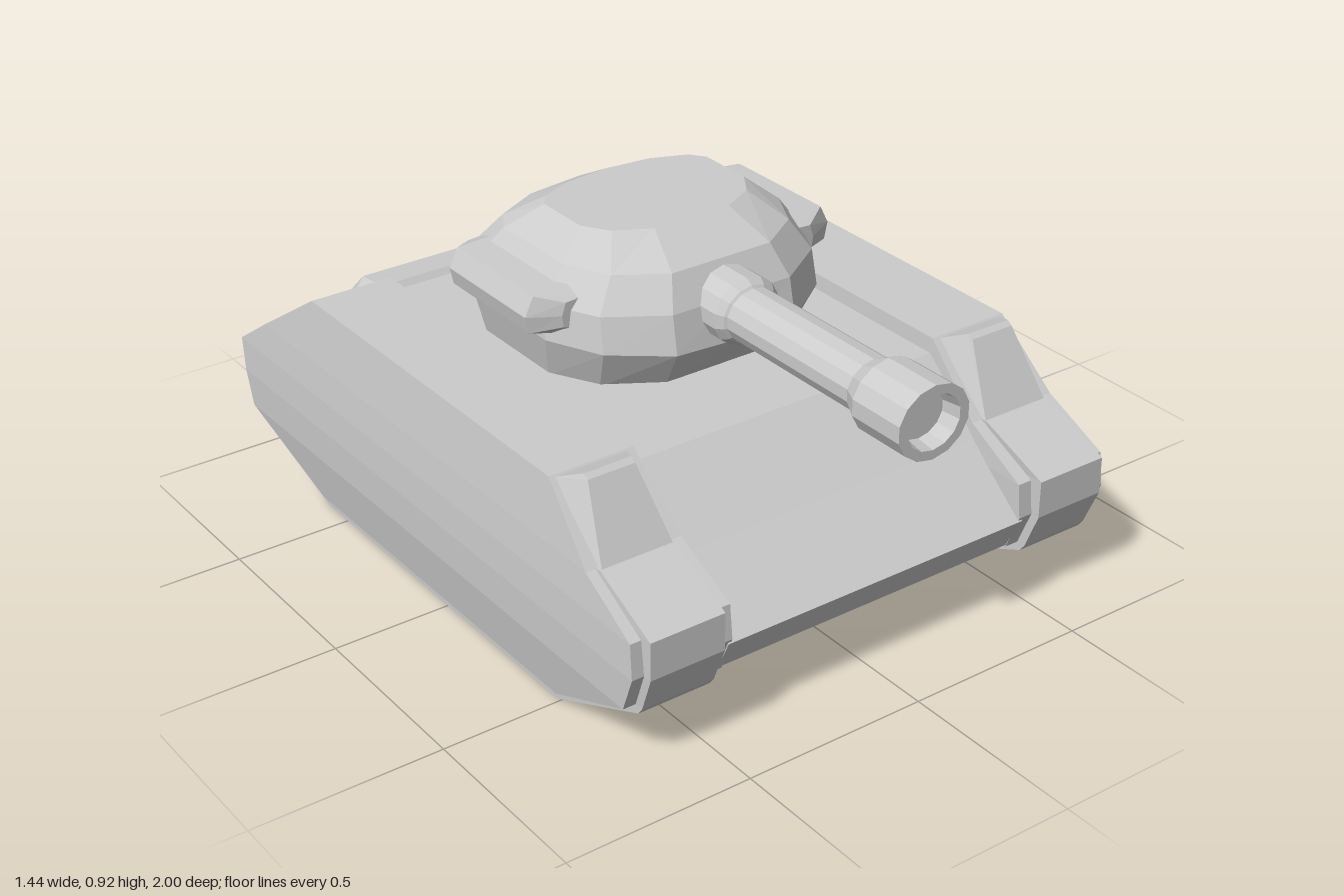
import * as THREE from 'three';

const material = new THREE.MeshStandardMaterial({ color: 0xcccccc, flatShading: true });

function mesh(name, geometry) {
  const m = new THREE.Mesh(geometry, material);
  m.name = name;
  return m;
}

// Skin a list of equal-length closed rings of [x, y, z] and cap both ends
function loft(rings) {
  const tris = [];
  const n = rings[0].length;
  for (let r = 0; r + 1 < rings.length; r++) {
    for (let i = 0; i < n; i++) {
      const j = (i + 1) % n;
      const a = rings[r][i], b = rings[r][j], c = rings[r + 1][j], d = rings[r + 1][i];
      tris.push([a, b, c], [a, c, d]);
    }
  }
  const cap = (ring, flip) => {
    const mid = [0, 1, 2].map(k => ring.reduce((s, p) => s + p[k], 0) / n);
    ring.forEach((p, i) => {
      const q = ring[(i + 1) % n];
      tris.push(flip ? [mid, q, p] : [mid, p, q]);
    });
  };
  cap(rings[0], true);
  cap(rings[rings.length - 1], false);
  // Turn the faces outward when the enclosed volume is negative
  let volume = 0;
  for (const [a, b, c] of tris) {
    volume += a[0] * (b[1] * c[2] - b[2] * c[1])
      + a[1] * (b[2] * c[0] - b[0] * c[2])
      + a[2] * (b[0] * c[1] - b[1] * c[0]);
  }
  if (volume < 0) tris.forEach(t => t.reverse());
  const g = new THREE.BufferGeometry();
  g.setAttribute('position', new THREE.Float32BufferAttribute(tris.flat(2), 3));
  g.computeVertexNormals();
  return g;
}

// Stacked rectangles: each level is [y, inner x, outer x, front z, rear z]
const stack = (levels, side) => loft(levels.map(([y, a, b, f, r]) =>
  [[side * a, y, f], [side * b, y, f], [side * b, y, r], [side * a, y, r]]));

export function createModel() {
  const model = new THREE.Group();
  model.name = 'tank';

  // Hull: side profiles across x, with two raised panels at the rear
  const hullRings = [-0.45, -0.40, -0.05, 0, 0.05, 0.40, 0.45].map(x => {
    const ax = Math.abs(x);
    const bulge = ax > 0.02 && ax < 0.42 ? 1 : 0;
    const profile = [
      [0.49, 0.57], [0.67, 0.41], [0.85, 0.26], [0.81, 0.175],
      [-0.93 - 0.02 * bulge, 0.125 + 0.1 * ax],
      [-0.97 - 0.03 * bulge, 0.35],
      [-0.81 - 0.04 * bulge, 0.48 + 0.02 * bulge],
      [-0.75, 0.51], [-0.60, 0.57],
    ];
    return profile.map(([z, y]) => [x, y, z]);
  });
  model.add(mesh('hull', loft(hullRings)));

  for (const side of [1, -1]) {
    const label = side > 0 ? 'left' : 'right';

    // Side skirt, widest at mid height
    model.add(mesh(label + 'Skirt', stack([
      [0.025, 0.445, 0.69, 0.50, -0.61],
      [0.17, 0.44, 0.715, 0.81, -0.93],
      [0.27, 0.44, 0.718, 0.85, -0.955],
      [0.36, 0.44, 0.715, 0.84, -0.97],
      [0.45, 0.445, 0.707, 0.66, -0.84],
      [0.61, 0.455, 0.688, 0.49, -0.60],
    ], side)));

    // Track unit, showing under the skirt and at the nose
    model.add(mesh(label + 'Track', stack([
      [0, 0.48, 0.68, 0.49, -0.60],
      [0.15, 0.48, 0.68, 0.82, -0.93],
      [0.17, 0.48, 0.68, 0.835, -0.93],
      [0.27, 0.48, 0.685, 0.875, -0.94],
      [0.37, 0.48, 0.685, 0.875, -0.93],
      [0.452, 0.475, 0.68, 0.68, -0.80],
    ], side)));

    // Wedge on the front slope of the skirt
    model.add(mesh(label + 'Wedge', loft([
      [[0.475, 0.605, 0.49], [0.675, 0.605, 0.49], [0.675, 0.44, 0.68], [0.475, 0.44, 0.68]],
      [[0.51, 0.635, 0.56], [0.64, 0.635, 0.56], [0.64, 0.625, 0.575], [0.51, 0.625, 0.575]],
    ].map(ring => ring.map(([x, y, z]) => [side * x, y, z])))));

    // Cheek box on the turret side: one section, tapered at both ends
    const section = [[0.32, 0.82], [0.44, 0.815], [0.465, 0.765], [0.455, 0.72], [0.36, 0.695]];
    const stations = [[0.10, 0.45], [0.06, 1], [-0.28, 1], [-0.335, 0.45]];
    model.add(mesh(label + 'CheekBox', loft(stations.map(([z, s]) =>
      section.map(([x, y]) => [side * (0.32 + (x - 0.32) * s), 0.755 + (y - 0.755) * (0.4 + 0.6 * s), z])))));
  }

  // Turret: one faceted outline scaled at each height [y, half width, front z, rear z]
  const half = [[0, 1], [0.45, 1], [0.82, 0.87], [1, 0.68], [1, 0.25], [0.88, 0.14], [0.5, 0.035], [0, 0]];
  const outline = [...half, ...half.slice(1, -1).reverse().map(([u, v]) => [-u, v])];
  const levels = [
    [0.56, 0.37, 0.22, -0.43], [0.66, 0.40, 0.285, -0.46], [0.77, 0.395, 0.265, -0.465],
    [0.855, 0.33, 0.22, -0.39], [0.92, 0.25, 0.10, -0.265],
  ];
  model.add(mesh('turret', loft(levels.map(([y, w, f, r]) =>
    outline.map(([u, v]) => [u * w, y + (y === 0.66 ? 0.02 * Math.abs(u) : 0), r + (f - r) * v])))));

  // Gun: collar, barrel and muzzle with a recessed bore
  const gunProfile = [
    [0, 0.15], [0.098, 0.15], [0.098, 0.32], [0.085, 0.34], [0.078, 0.345], [0.078, 0.79],
    [0.105, 0.84], [0.105, 1], [0.078, 1], [0.07, 0.95], [0, 0.95],
  ].map(([r, z]) => new THREE.Vector2(r, z));
  const gun = mesh('gun', new THREE.LatheGeometry(gunProfile, 14));
  gun.geometry.rotateX(Math.PI / 2).scale(1, 0.9, 1);
  gun.position.y = 0.752;
  model.add(gun);

  return model;
}
